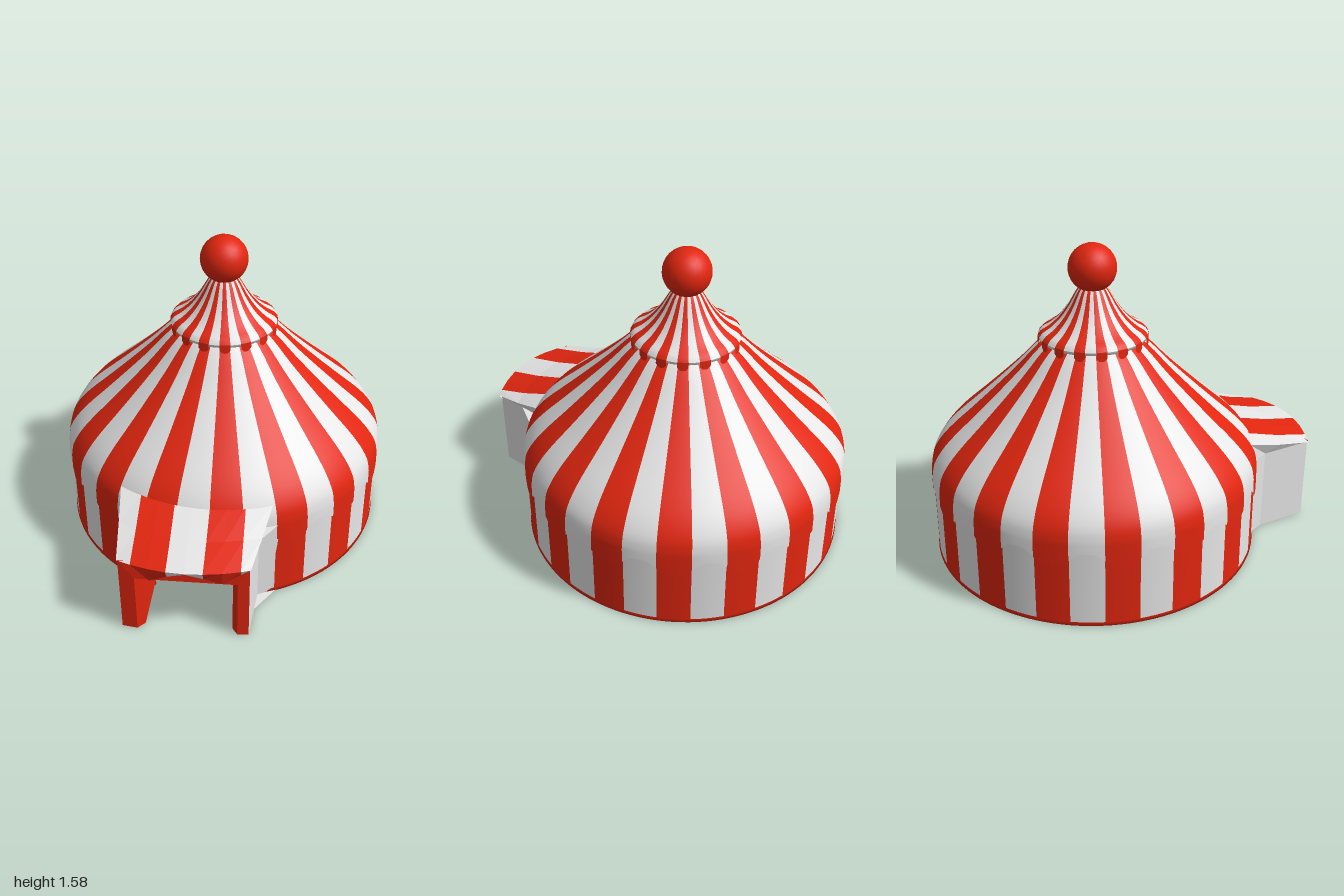
import * as THREE from 'three';

const ZC = -0.155;          // tent axis
const STRIPES = 32, SUB = 4, COLS = STRIPES * SUB;
const RED = 0, WHITE = 1, SKIP = -1;

function makeMaterials() {
  const make = (name, color) => {
    const m = new THREE.MeshStandardMaterial({ color, side: THREE.DoubleSide });
    m.name = name;
    return m;
  };
  return [make('red canvas', 0xe2260f), make('white canvas', 0xe6e6e6)];
}

// Grid of points (rows of [x, y, z]) with one of the two colours per cell
function surface(name, rows, colourOf, mats, { closed = false, flat = false } = {}) {
  const n = rows[0].length;
  const index = [[], []];
  for (let i = 0; i < rows.length - 1; i++) {
    for (let j = 0; j < (closed ? n : n - 1); j++) {
      const c = colourOf(i, j);
      if (c === SKIP) continue;
      const k = (j + 1) % n;
      const a = i * n + j, b = (i + 1) * n + j, d = (i + 1) * n + k, e = i * n + k;
      index[c].push(a, b, e, b, d, e);
    }
  }
  let geo = new THREE.BufferGeometry();
  geo.setAttribute('position', new THREE.Float32BufferAttribute(rows.flat(2), 3));
  geo.setIndex([...index[RED], ...index[WHITE]]);
  if (flat) geo = geo.toNonIndexed();
  geo.computeVertexNormals();
  geo.clearGroups();
  geo.addGroup(0, index[RED].length, RED);
  geo.addGroup(index[RED].length, index[WHITE].length, WHITE);
  const mesh = new THREE.Mesh(geo, mats);
  mesh.name = name;
  return mesh;
}

// One ring around the tent axis; y may vary with the column
function ring(r, y) {
  return Array.from({ length: COLS }, (_, j) => {
    const a = (j / COLS) * Math.PI * 2;
    return [r * Math.cos(a), typeof y === 'function' ? y(j) : y, ZC - r * Math.sin(a)];
  });
}

const stripe = (i, j) => (Math.floor(j / SUB) % 2 === 0 ? RED : WHITE);

// Scalloped hem: hangs lowest at the middle of each red stripe
const scallop = (high, low) => (j) => {
  const phase = Math.cos(((j - SUB / 2) / (2 * SUB)) * Math.PI * 2);
  return low + (high - low) * (0.5 - 0.5 * Math.sign(phase) * Math.sqrt(Math.abs(phase)));
};

function smoothProfile(points, count) {
  const curve = new THREE.CatmullRomCurve3(points.map(([r, y]) => new THREE.Vector3(r, y, 0)));
  return curve.getPoints(count).map((p) => ring(p.x, p.y));
}

// Vertical ribbon through floor points [x, z]
function ribbon(name, pts, y0, y1, colour, mats) {
  const rows = [y1, y0].map((y) => pts.map(([x, z]) => [x, y, z]));
  return surface(name, rows, () => colour, mats, { flat: true });
}

function makeEntrance(mats) {
  const g = new THREE.Group();
  g.name = 'entrance';
  const TOP = 0.455;
  // Door posts: red inside and front, white outside
  const posts = [
    { side: 'right', red: [[-0.285, 0.56], [-0.295, 0.89], [-0.33, 0.925], [-0.405, 0.915]],
      white: [[-0.405, 0.915], [-0.41, 0.64], [-0.44, 0.56]] },
    { side: 'left', red: [[0.12, 0.56], [0.13, 0.89], [0.155, 0.925], [0.21, 0.92]],
      white: [[0.21, 0.92], [0.238, 0.66], [0.335, 0.61]] },
  ];
  for (const { side, red, white } of posts) {
    g.add(ribbon(side + 'DoorPost', red, 0.01, TOP, RED, mats));
    g.add(ribbon(side + 'PorchWall', white, 0.01, TOP, WHITE, mats));
    const inner = [red[0], red[1], red[2]];
    const outer = [white[2], white[1], white[0]];
    for (const y of [0.01, TOP]) {
      const cap = [inner, outer].map((line) => line.map(([x, z]) => [x, y, z]));
      g.add(surface(side + 'PostCap', cap, () => WHITE, mats, { flat: true }));
    }
  }

  // Lintel and sloping passage ceiling
  g.add(surface('lintel', [
    [[-0.405, 0.46, 0.922], [0.21, 0.46, 0.922]],
    [[-0.33, 0.35, 0.927], [0.155, 0.35, 0.927]],
    [[-0.285, 0.31, 0.56], [0.12, 0.31, 0.56]],
  ], () => RED, mats, { flat: true }));

  // Awning: from the roof edge outward, then a scalloped drop
  const backX = [-0.45, -0.34, -0.255, -0.17, -0.085, 0, 0.085, 0.17, 0.3];
  const frontX = [-0.41, -0.34, -0.255, -0.17, -0.085, 0, 0.085, 0.17, 0.215];
  const dropY = [0.44, 0.43, 0.37, 0.42, 0.445, 0.42, 0.38, 0.42, 0.44];
  const frontZ = (x) => 1 - 0.75 * (x + 0.08) ** 2;
  const back = backX.map((x) => [x, 0.56, ZC + Math.sqrt(0.64 - x * x)]);
  const front = frontX.map((x) => [x, 0.475 - 0.2 * (x + 0.08) ** 2, frontZ(x)]);
  const middle = back.map((p, j) => p.map((v, k) => (v + front[j][k]) / 2 - (k === 1 ? 0.008 : 0)));
  const hem = frontX.map((x, j) => [x, dropY[j], frontZ(x) - 0.025]);
  const colours = [WHITE, RED, RED, WHITE, WHITE, RED, RED, WHITE];
  g.add(surface('awning', [back, middle, front, hem], (i, j) => colours[j], mats, { flat: true }));

  // White cheeks closing the gap between awning and porch walls
  for (const [side, j, wall] of [['right', 0, posts[0].white], ['left', 8, posts[1].white]]) {
    const top = [front[j], middle[j], back[j]];
    const low = wall.map(([x, z]) => [x, TOP, z]);
    g.add(surface(side + 'AwningCheek', [top, low], () => WHITE, mats, { flat: true }));
  }
  return g;
}

export function createModel() {
  const mats = makeMaterials();
  const model = new THREE.Group();
  model.name = 'stripedTent';

  // Main roof with hanging scalloped edge
  const roof = smoothProfile([
    [0.19, 1.15], [0.27, 1.09], [0.38, 0.975], [0.5, 0.86], [0.62, 0.75],
    [0.72, 0.66], [0.785, 0.59], [0.828, 0.52], [0.843, 0.45],
  ], 24);
  roof.push(ring(0.845, scallop(0.41, 0.33)));
  const atDoor = (j) => j >= 89 && j < 99;
  model.add(surface('mainRoof', roof,
    (i, j) => (i === roof.length - 2 && atDoor(j) ? SKIP : stripe(i, j)), mats, { closed: true }));

  // Round wall, open at the doorway, with a red hem at the ground
  const wall = [ring(0.835, 0.45), ring(0.838, 0.025), ring(0.842, 0.008), ring(0.825, 0.008)];
  model.add(surface('wall', wall,
    (i, j) => (atDoor(j) ? SKIP : i > 0 ? RED : stripe(i, j)), mats, { closed: true }));

  // Small upper roof with rolled lip and red tabs
  const cap = smoothProfile([
    [0.05, 1.4], [0.08, 1.36], [0.12, 1.29], [0.165, 1.23], [0.215, 1.185], [0.255, 1.16], [0.272, 1.14],
  ], 16);
  model.add(surface('upperRoof', cap, stripe, mats, { closed: true }));
  const lip = [ring(0.272, 1.14), ring(0.268, 1.125), ring(0.25, 1.122), ring(0.19, 1.13)];
  model.add(surface('upperLip', lip, () => WHITE, mats, { closed: true }));
  const tabs = [ring(0.273, 1.142), ring(0.275, scallop(1.13, 1.095))];
  model.add(surface('upperTabs', tabs, (i, j) => (stripe(i, j) === RED ? RED : SKIP), mats, { closed: true }));

  // Ball on the peak
  const ball = new THREE.Mesh(new THREE.IcosahedronGeometry(0.12, 4), mats[RED]);
  ball.name = 'peakBall';
  ball.position.set(0, 1.473, ZC);
  model.add(ball);

  model.add(makeEntrance(mats));

  // Rest the lowest hem on the ground
  const box = new THREE.Box3().setFromObject(model);
  model.position.y = -box.min.y;
  return model;
}
